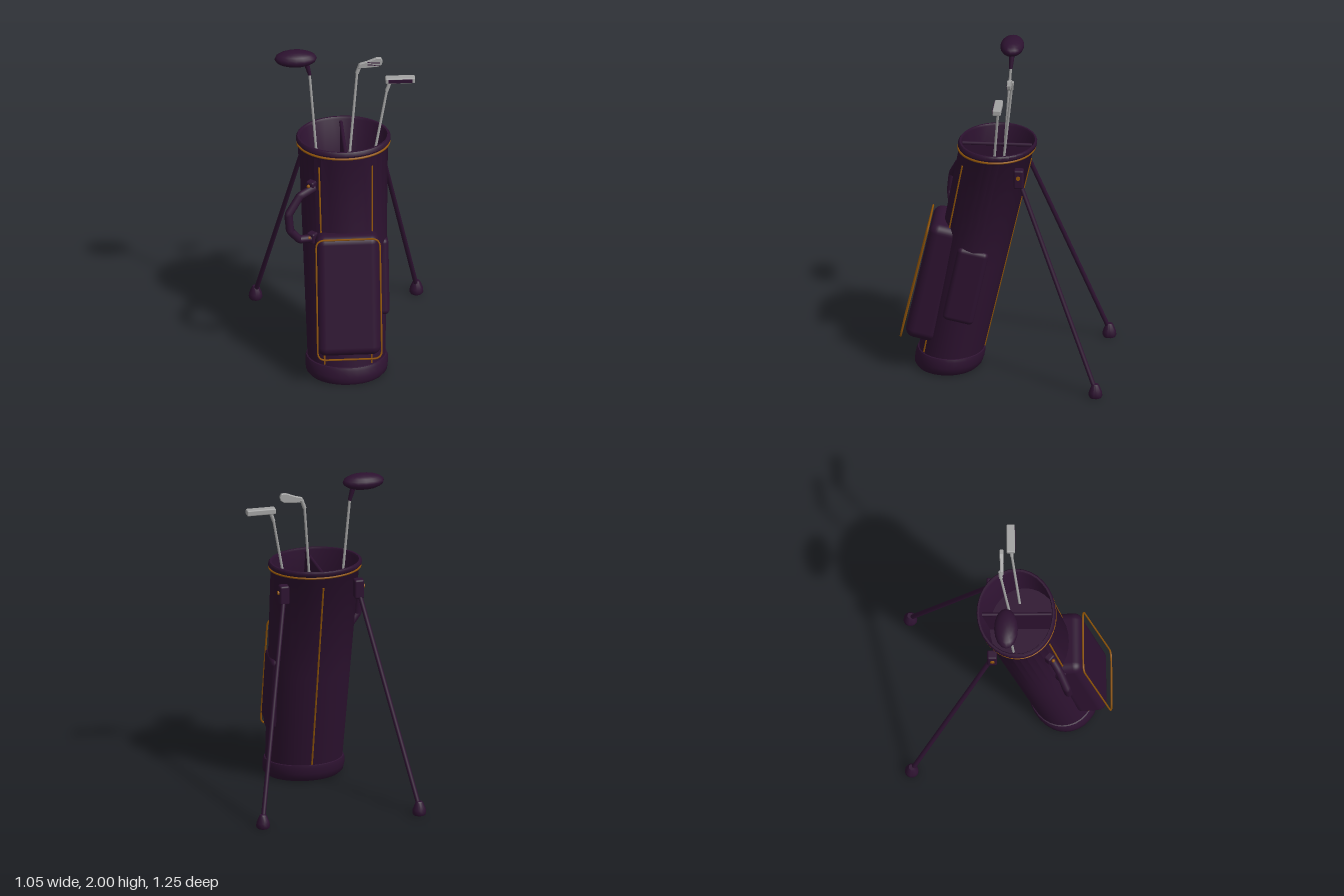
import * as THREE from 'three';
import { toCreasedNormals } from 'three/addons/utils/BufferGeometryUtils.js';
import { RoundedBoxGeometry } from 'three/addons/geometries/RoundedBoxGeometry.js';

const V = (x, y, z) => new THREE.Vector3(x, y, z);
const LEAN = -0.208, BASE_Z = 0.347, DEPTH = 0.835;
const centreZ = y => BASE_Z + LEAN * y;            // axis of the leaning bag
const radius = y => 0.235 + (y - 0.1) * 0.026;     // bag half-width at a height
// Squash a round form front to back and lean it along the bag axis
const leanMatrix = (depth = DEPTH) => new THREE.Matrix4().set(
  1, 0, 0, 0,
  0, 1, 0, 0,
  0, LEAN, depth, BASE_Z,
  0, 0, 0, 1);

export function createModel() {
  const group = new THREE.Group();
  const material = (name, color) => {
    const m = new THREE.MeshStandardMaterial({ color });
    m.name = name;
    return m;
  };
  const purple = material('dark purple', 0x2d1230);
  const gold = material('gold trim', 0x8f5408);
  const silver = material('silver metal', 0xa2a2a2);

  const add = (name, geo, mat, pos) => {
    const mesh = new THREE.Mesh(geo, mat);
    mesh.name = name;
    if (pos) mesh.position.copy(pos);
    group.add(mesh);
    return mesh;
  };
  const leaningLathe = (name, pts, mat) => {
    const geo = new THREE.LatheGeometry(pts.map(p => new THREE.Vector2(...p)), 32);
    geo.applyMatrix4(leanMatrix());
    return add(name, toCreasedNormals(geo, 0.7), mat);
  };
  // Straight round rod between two points
  const rod = (name, a, b, r, mat, sides = 10, r2 = r) => {
    const d = b.clone().sub(a);
    const mesh = add(name, new THREE.CylinderGeometry(r2, r, d.length(), sides), mat,
      a.clone().add(b).multiplyScalar(0.5));
    mesh.quaternion.setFromUnitVectors(V(0, 1, 0), d.normalize());
    return mesh;
  };

  // Bag body: outer wall, rolled rim, inner wall and floor
  leaningLathe('bagBody', [
    [radius(0.08), 0.08], [radius(0.7), 0.7], [radius(1.39), 1.39],
    [0.277, 1.4], [0.277, 1.42], [0.285, 1.427], [0.285, 1.443], [0.278, 1.452],
    [0.266, 1.452], [0.259, 1.44], [0.255, 1.18], [0, 1.18],
  ], purple);
  leaningLathe('bagBase', [
    [0, 0], [0.225, 0], [0.244, 0.02], [0.249, 0.05], [0.249, 0.09],
    [0.243, 0.108], [0.23, 0.112],
  ], purple);
  const ring = new THREE.TorusGeometry(0.277, 0.007, 8, 48);
  ring.rotateX(Math.PI / 2).translate(0, 1.41, 0).applyMatrix4(leanMatrix());
  add('rimPiping', ring, gold);

  // Divider across the mouth
  const divider = new THREE.BoxGeometry(0.014, 0.25, 0.42);
  divider.translate(0, 1.3, 0).applyMatrix4(leanMatrix(1));
  add('divider', divider, purple);
  rod('dividerBar', V(0, 1.425, centreZ(1.425) - 0.21), V(0, 1.425, centreZ(1.425) + 0.21), 0.011, purple);

  // Piping seams: two at the front, one at the back
  for (const angle of [-0.645, 0.645, Math.PI]) {
    const at = y => V(Math.sin(angle) * radius(y), y, centreZ(y) + Math.cos(angle) * radius(y) * DEPTH);
    rod('seamPiping', at(0.115), at(1.34), 0.006, gold, 6);
  }

  // Front pocket with a piping frame standing off its face
  const pocket = add('frontPocket', new RoundedBoxGeometry(0.385, 0.755, 0.2, 4, 0.055), purple, V(0, 0.573, 0.42));
  pocket.rotation.x = -0.22;
  const frame = new THREE.CurvePath();
  const w = 0.193, h = 0.374, c = 0.05;
  const corners = [[1, 1], [-1, 1], [-1, -1], [1, -1]];
  corners.forEach(([sx, sy], i) => {
    const [nx, ny] = corners[(i + 1) % 4];
    const horizontal = sy === ny;
    const start = horizontal ? V(sx * (w - c), sy * h, 0) : V(sx * w, sy * (h - c), 0);
    const end = horizontal ? V(nx * (w - c), ny * h, 0) : V(nx * w, ny * (h - c), 0);
    const next = horizontal ? V(nx * w, ny * (h - c), 0) : V(nx * (w - c), ny * h, 0);
    frame.add(new THREE.LineCurve3(start, end));
    frame.add(new THREE.QuadraticBezierCurve3(end, V(nx * w, ny * h, 0), next));
  });
  const trim = add('pocketPiping', new THREE.TubeGeometry(frame, 120, 0.006, 6, true), gold, V(0, 0.585, 0.535));
  trim.rotation.x = -0.23;

  // Side pocket on the left
  const sidePocket = add('sidePocket', new RoundedBoxGeometry(0.1, 0.48, 0.19, 3, 0.03), purple, V(0.209, 0.59, 0.222));
  sidePocket.rotation.x = -0.21;

  // Carry handle with mounting pads and rivets
  const handlePath = new THREE.CurvePath();
  const handle = [V(-0.19, 1.205, 0.25), V(-0.28, 1.18, 0.305), V(-0.352, 1.08, 0.35),
    V(-0.343, 0.975, 0.36), V(-0.285, 0.905, 0.345), V(-0.18, 0.895, 0.31)];
  handle.slice(1).forEach((p, i) => handlePath.add(new THREE.LineCurve3(handle[i], p)));
  add('carryHandle', new THREE.TubeGeometry(handlePath, 40, 0.025, 10), purple);
  for (const [y, z] of [[1.215, 0.245], [0.9, 0.315]]) {
    const pad = add('handlePad', new RoundedBoxGeometry(0.055, 0.07, 0.05, 2, 0.012), purple, V(-0.205, y, z));
    pad.rotation.y = -0.7;
    add('handleRivet', new THREE.SphereGeometry(0.011, 10, 8), gold, V(-0.226, y + 0.01, z + 0.024));
  }

  // Stand legs, mirrored
  for (const s of [-1, 1]) {
    add('legHinge', new RoundedBoxGeometry(0.06, 0.12, 0.06, 2, 0.012), purple, V(s * 0.232, 1.3, -0.1));
    const rivet = add('hingeRivet', new THREE.CylinderGeometry(0.013, 0.013, 0.012, 12), gold, V(s * 0.264, 1.312, -0.098));
    rivet.rotation.z = Math.PI / 2;
    rod('standLeg', V(s * 0.485, 0.05, -0.583), V(s * 0.237, 1.26, -0.112), 0.014, purple);
    const foot = new THREE.LatheGeometry([[0, 0], [0.036, 0], [0.042, 0.012], [0.04, 0.035], [0.024, 0.075],
      [0.018, 0.084], [0, 0.084]].map(p => new THREE.Vector2(...p)), 14);
    add('legFoot', toCreasedNormals(foot, 0.7), purple, V(s * 0.485, 0, -0.585));
  }

  // Driver
  rod('driverShaft', V(-0.15, 1.18, 0.03), V(-0.2, 1.85, -0.015), 0.008, silver);
  rod('driverNeck', V(-0.198, 1.835, -0.014), V(-0.222, 1.93, -0.02), 0.011, purple, 10, 0.018);
  const head = new THREE.SphereGeometry(1, 16, 10);
  head.scale(0.128, 0.05, 0.072);
  add('driverHead', head, purple, V(-0.283, 1.95, -0.016));

  // Iron
  rod('ironShaft', V(0.03, 1.18, 0.025), V(0.09, 1.83, -0.045), 0.008, silver);
  rod('ironNeck', V(0.089, 1.82, -0.044), V(0.108, 1.875, -0.048), 0.012, silver);
  const blade = new THREE.Shape([[0.095, 1.862], [0.13, 1.862], [0.215, 1.868], [0.234, 1.88], [0.24, 1.9],
    [0.232, 1.919], [0.205, 1.92], [0.15, 1.898], [0.105, 1.885]].map(p => new THREE.Vector2(...p)));
  const bladeGeo = new THREE.ExtrudeGeometry(blade, { depth: 0.016, bevelSize: 0.003, bevelThickness: 0.003, bevelSegments: 1 });
  add('ironHead', bladeGeo, silver, V(0, 0, -0.047));
  for (let i = 0; i < 3; i++)
    add('ironGroove', new THREE.BoxGeometry(0.075, 0.003, 0.003), purple, V(0.188, 1.877 + i * 0.011, -0.028));

  // Putter
  rod('putterShaft', V(0.16, 1.18, 0.07), V(0.267, 1.745, 0.022), 0.008, silver);
  rod('putterNeck', V(0.264, 1.73, 0.023), V(0.285, 1.79, 0.018), 0.011, silver);
  add('putterHead', new RoundedBoxGeometry(0.178, 0.036, 0.05, 2, 0.007), silver, V(0.345, 1.8, 0.017));
  add('putterFace', new THREE.BoxGeometry(0.145, 0.022, 0.004), purple, V(0.345, 1.8, 0.043));

  return group;
}
